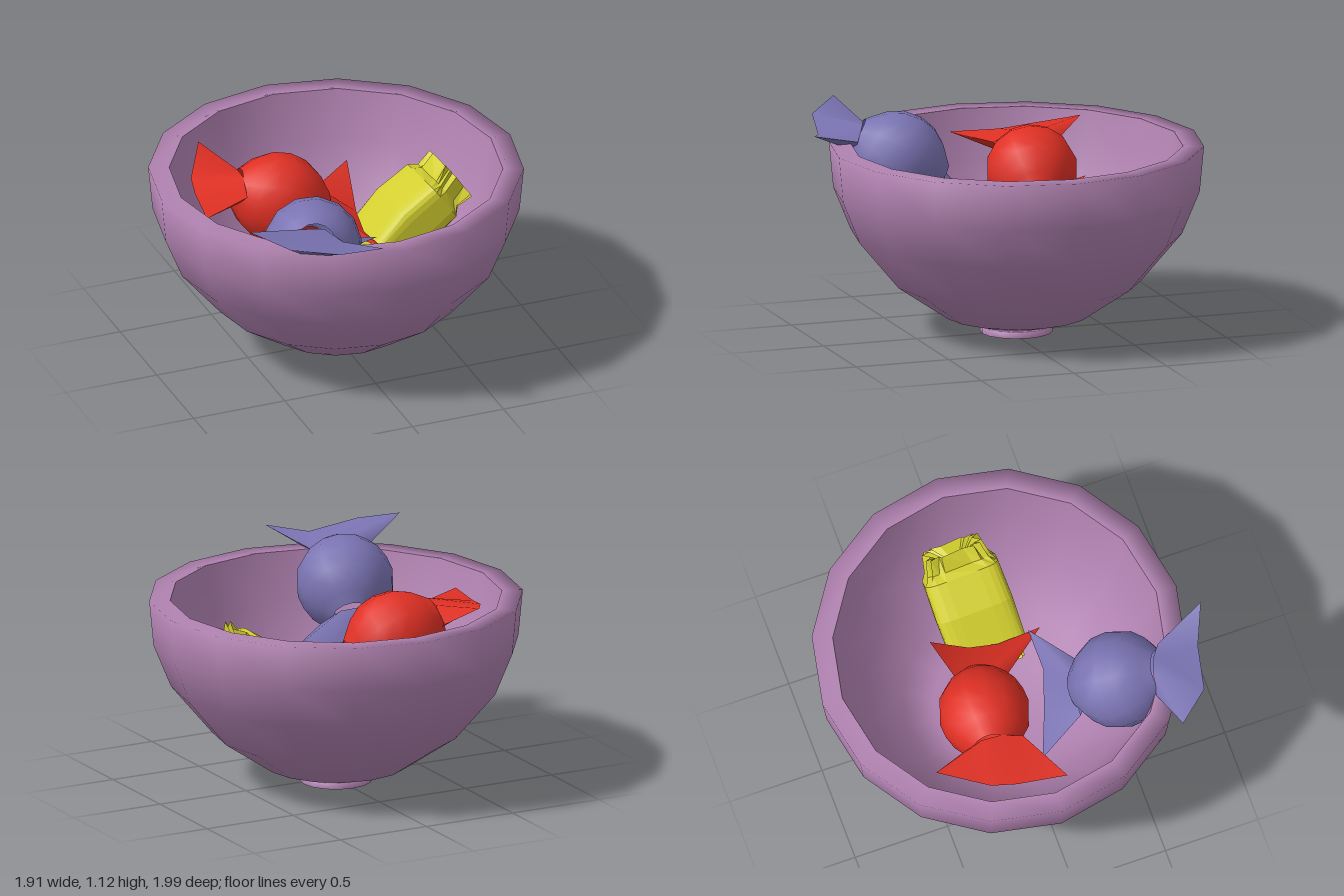
import * as THREE from 'three';

const colour = (name, hex, side = THREE.FrontSide) => {
  const m = new THREE.MeshStandardMaterial({ color: hex, side });
  m.name = name;
  return m;
};

// Surface through rows of points with equal counts
function loft(rows, closed = false, flat = false) {
  const n = rows[0].length, pos = [], idx = [];
  rows.forEach(r => r.forEach(p => pos.push(p.x, p.y, p.z)));
  for (let i = 0; i < rows.length - 1; i++)
    for (let j = 0; j < (closed ? n : n - 1); j++) {
      const k = (j + 1) % n, a = i * n + j, b = i * n + k, c = a + n, d = b + n;
      idx.push(a, b, d, a, d, c);
    }
  let g = new THREE.BufferGeometry();
  g.setAttribute('position', new THREE.Float32BufferAttribute(pos, 3));
  g.setIndex(idx);
  if (flat) g = g.toNonIndexed();
  g.computeVertexNormals();
  return g;
}

function add(parent, name, geometry, material) {
  const m = new THREE.Mesh(geometry, material);
  m.name = name;
  parent.add(m);
  return m;
}

const V = p => new THREE.Vector3(...p);

// Flared wrapper end: thick at the neck, closing to a thin outer edge
function wrapperEnd(parent, name, neckA, neckB, edge, material) {
  const a = V(neckA), b = V(neckB), outer = edge.map(V);
  const mid = a.clone().lerp(b, 0.5);
  const out = outer[1].clone().lerp(outer[2], 0.5).sub(mid);
  const normal = b.clone().sub(a).cross(out).normalize();
  const wing = new THREE.Group();
  wing.name = name;
  for (const s of [1, -1]) {
    const neck = outer.map((_, i) => a.clone().lerp(b, i / 3)
      .addScaledVector(normal, s * (i % 3 ? 0.07 : 0)));
    add(wing, s > 0 ? 'wrapperFoldA' : 'wrapperFoldB',
      loft(s > 0 ? [neck, outer] : [outer, neck]), material);
  }
  parent.add(wing);
}

// Round sweet, tapering to a neck at both ends where the wrapper is twisted
function twistCandy(name, material, centre, radius, axis, ends) {
  const g = new THREE.Group();
  g.name = name;
  const half = [[0.245, 0.1], [0.2, 0.145], [0.165, 0.18], [0.09, 0.225]];
  const profile = [
    ...half.map(([y, r]) => [-y, r]), [0, 0.24], ...half.reverse(),
  ].map(([y, r]) => new THREE.Vector2(r * radius / 0.24, y));
  const ball = add(g, 'candyBall', new THREE.LatheGeometry(profile, 14), material);
  ball.position.set(...centre);
  ball.quaternion.setFromUnitVectors(new THREE.Vector3(0, 1, 0), V(axis).normalize());
  ends.forEach((e, i) => wrapperEnd(g, 'wrapperEnd' + (i + 1), ...e, material));
  return g;
}

// Block-shaped sweet with pleated open ends, lying along local x
function pleatedCandy(material) {
  const N = 24;
  // along, half height, half width, pleat depth
  const stations = [
    [-0.24, 0, 0, 0], [-0.33, 0.09, 0.16, 0.25], [-0.25, 0.07, 0.17, 0.1],
    [-0.22, 0.09, 0.2, 0], [0, 0.135, 0.205, 0], [0.2, 0.125, 0.2, 0],
    [0.24, 0.095, 0.175, 0.1], [0.33, 0.12, 0.155, 0.25], [0.23, 0, 0, 0],
  ];
  const square = v => Math.sign(v) * Math.pow(Math.abs(v), 0.4);
  const rows = stations.map(([x, h, w, pleat]) => Array.from({ length: N }, (_, j) => {
    const t = (j + 0.5) / N * Math.PI * 2;
    const k = j % 2 ? 1 - pleat : 1;
    return new THREE.Vector3(x, square(Math.sin(t)) * h * k, square(Math.cos(t)) * w * k);
  }));
  const g = new THREE.Group();
  g.name = 'pleatedCandy';
  add(g, 'pleatedWrapper', loft(rows, true, true), material);
  g.position.set(0.37, 0.615, -0.05);
  g.rotation.set(-0.1, 0, 0.6);
  return g;
}

export function createModel() {
  const model = new THREE.Group();
  model.name = 'candyBowl';
  const mauve = colour('mauve', 0xb283b2);
  const red = colour('red', 0xe03024, THREE.DoubleSide);
  const blue = colour('slateBlue', 0x7a73b2, THREE.DoubleSide);
  const yellow = colour('yellow', 0xd2ce30, THREE.DoubleSide);

  // Bowl: rounded outside on a small foot, flat rim, steep inside with a flat floor
  const bowl = new THREE.Group();
  bowl.name = 'bowl';
  bowl.position.z = -0.04;
  const zones = {
    footBase: [[0, 0], [0.185, 0]],
    outerWall: [[0.185, 0], [0.185, 0.03], [0.165, 0.035], [0.37, 0.09], [0.635, 0.27],
      [0.845, 0.52], [0.935, 0.74], [0.957, 0.977], [0.85, 0.977]],
    innerWall: [[0.85, 0.977], [0.79, 0.72], [0.68, 0.48], [0.5, 0.23], [0.34, 0.15], [0, 0.14]],
  };
  for (const [name, pts] of Object.entries(zones))
    add(bowl, name, new THREE.LatheGeometry(pts.map(p => new THREE.Vector2(...p)), 16), mauve);
  model.add(bowl);

  model.add(twistCandy('redCandy', red, [-0.245, 0.768, -0.21], 0.235, [-0.42, 0.17, -0.07], [
    [[-0.44, 0.85, -0.39], [-0.47, 0.88, -0.08],
      [[-0.54, 0.97, -0.575], [-0.68, 0.91, -0.33], [-0.71, 0.89, -0.2], [-0.75, 0.885, 0.06]]],
    [[-0.005, 0.75, -0.285], [-0.06, 0.64, -0.03],
      [[0.185, 0.83, -0.35], [0.155, 0.64, -0.15], [0.138, 0.6, 0], [0.14, 0.63, 0.23]]],
  ]));

  model.add(twistCandy('blueCandy', blue, [-0.34, 0.86, 0.485], 0.252, [-0.125, 0.227, 0.375], [
    [[-0.53, 0.98, 0.62], [-0.27, 0.985, 0.72],
      [[-0.765, 1.12, 0.68], [-0.61, 1.07, 0.85], [-0.36, 1.02, 0.905], [-0.155, 1.06, 0.995]]],
    [[-0.42, 0.75, 0.25], [-0.12, 0.71, 0.34],
      [[-0.54, 0.65, 0], [-0.31, 0.62, 0.09], [-0.08, 0.62, 0.17], [0.14, 0.65, 0.165]]],
  ]));

  model.add(pleatedCandy(yellow));
  return model;
}
